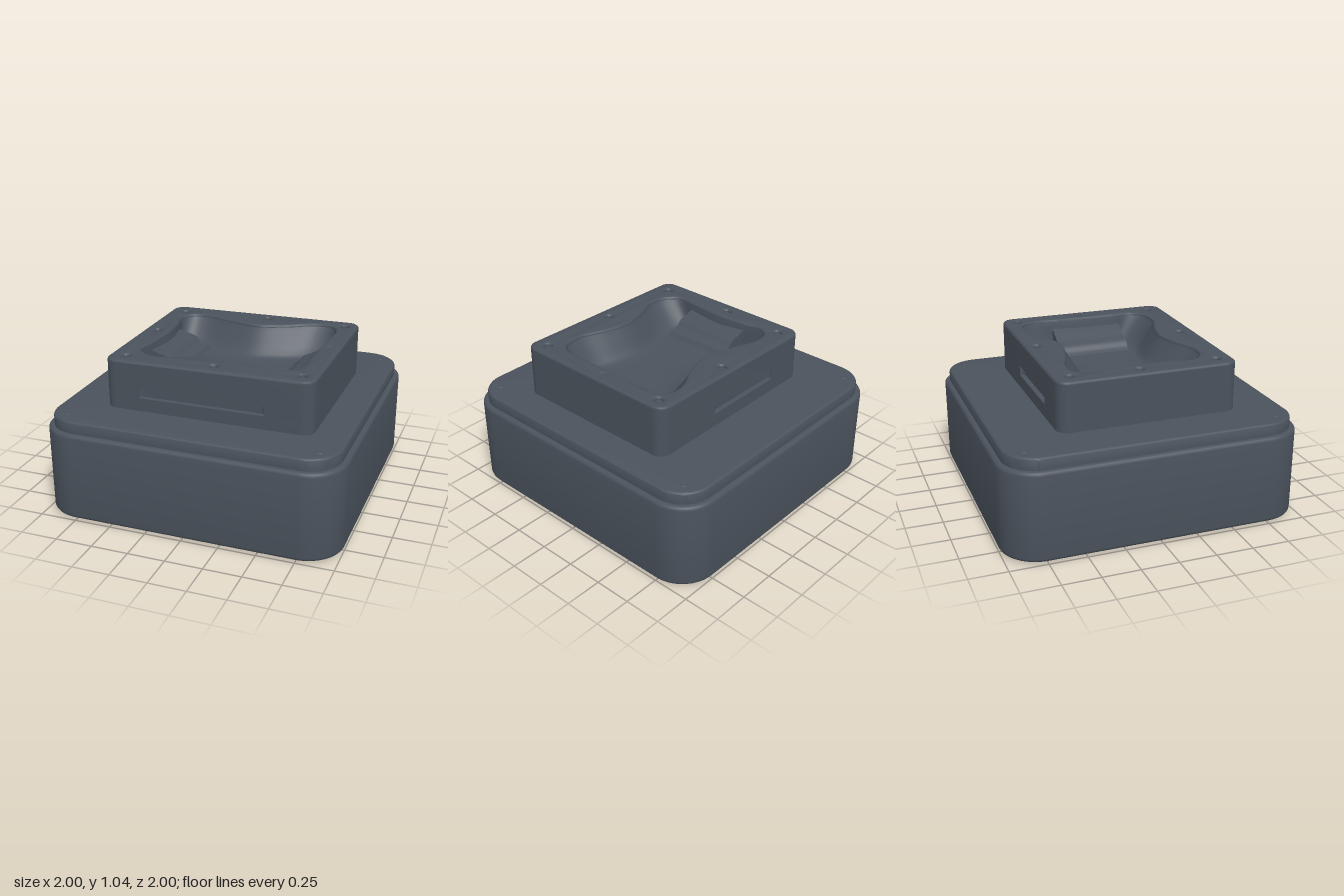
import * as THREE from 'three';
import { toCreasedNormals } from 'three/addons/utils/BufferGeometryUtils.js';

const material = new THREE.MeshStandardMaterial({ color: 0x4a525c });

function addPart(group, name, geometry, x = 0, y = 0, z = 0) {
  const mesh = new THREE.Mesh(geometry, material);
  mesh.name = name;
  mesh.position.set(x, y, z);
  group.add(mesh);
}

// Rounded rectangle in plan (shape y = world z); optional notches in the back and front sides
function plan(x0, x1, z0, z1, r, backNotch, frontNotch, d = 0.035) {
  const s = new THREE.Shape();
  s.moveTo(x0 + r, z0);
  if (backNotch) {
    const [a, b] = backNotch;
    s.lineTo(a, z0);
    s.quadraticCurveTo(a, z0 + d, a + d, z0 + d);
    s.lineTo(b - d, z0 + d);
    s.quadraticCurveTo(b, z0 + d, b, z0);
  }
  s.lineTo(x1 - r, z0);
  s.absarc(x1 - r, z0 + r, r, -Math.PI / 2, 0);
  s.lineTo(x1, z1 - r);
  s.absarc(x1 - r, z1 - r, r, 0, Math.PI / 2);
  if (frontNotch) {
    const [a, b] = frontNotch;
    s.lineTo(b, z1);
    s.quadraticCurveTo(b, z1 - d, b - d, z1 - d);
    s.lineTo(a + d, z1 - d);
    s.quadraticCurveTo(a, z1 - d, a, z1);
  }
  s.lineTo(x0 + r, z1);
  s.absarc(x0 + r, z1 - r, r, Math.PI / 2, Math.PI);
  s.lineTo(x0, z0 + r);
  s.absarc(x0 + r, z0 + r, r, Math.PI, Math.PI * 1.5);
  return s;
}

// The rim of the housing rises gently towards +x
function tilt(geometry) {
  const p = geometry.attributes.position;
  for (let i = 0; i < p.count; i++) {
    const k = THREE.MathUtils.smoothstep(p.getY(i), 0.86, 0.99);
    p.setY(i, p.getY(i) + 0.013 * p.getX(i) * k);
  }
  return geometry;
}

// Extrude a plan shape between two heights, with rounded edges if bevel > 0
function slab(shape, y0, y1, bevel = 0) {
  const g = new THREE.ExtrudeGeometry(shape, {
    depth: y1 - y0 - 2 * bevel, curveSegments: 12,
    bevelEnabled: bevel > 0, bevelThickness: bevel, bevelSize: bevel, bevelOffset: -bevel, bevelSegments: 4,
  });
  g.rotateX(Math.PI / 2).translate(0, y1 - bevel, 0);
  return toCreasedNormals(tilt(g), 0.7);
}

// Pinched outline of the pocket
const outline = new THREE.CatmullRomCurve3([
  [-0.52, -0.33], [-0.46, -0.41], [-0.35, -0.42], [-0.15, -0.355], [0.06, -0.315], [0.25, -0.37],
  [0.44, -0.46], [0.56, -0.45], [0.61, -0.37], [0.61, -0.2], [0.6, 0], [0.6, 0.25],
  [0.6, 0.38], [0.54, 0.46], [0.4, 0.48], [0.22, 0.42], [0.04, 0.385], [-0.12, 0.42],
  [-0.3, 0.49], [-0.42, 0.48], [-0.51, 0.4], [-0.5, 0.25], [-0.48, 0], [-0.5, -0.2],
].map(([x, z]) => new THREE.Vector3(x, 0, z)), true).getPoints(120).slice(0, -1);

// Pocket lining: the outline scaled inwards ring by ring down to the floor
function pocketGeometry() {
  const cx = 0.05, cz = 0.04, n = outline.length;
  const rings = [[1, 1, 1.012], [0.99, 0.96, 0.985], [0.98, 0.88, 0.94], [0.97, 0.8, 0.89],
    [0.96, 0.72, 0.85], [0.93, 0.65, 0.83], [0.5, 0.4, 0.825], [0, 0, 0.825]];
  const pos = [], index = [];
  for (const [sx, sz, y] of rings) {
    for (const p of outline) pos.push(cx + (p.x - cx) * sx, y, cz + (p.z - cz) * sz);
  }
  for (let k = 0; k < rings.length - 1; k++) {
    for (let j = 0; j < n; j++) {
      const a = k * n + j, b = k * n + (j + 1) % n;
      index.push(b, a, a + n, b, a + n, b + n);
    }
  }
  const g = new THREE.BufferGeometry();
  g.setAttribute('position', new THREE.Float32BufferAttribute(pos, 3));
  g.setIndex(index);
  tilt(g).computeVertexNormals();
  return g;
}

// Sloped ledge inside the pocket, a side profile extruded along z
function ledgeGeometry(points, z0, z1) {
  const shape = new THREE.Shape();
  shape.moveTo(...points[0]);
  shape.splineThru(points.slice(1).map(([x, y]) => new THREE.Vector2(x, y)));
  shape.lineTo(points[0][0], 0.8);
  const g = new THREE.ExtrudeGeometry(shape, { depth: z1 - z0, bevelEnabled: false, curveSegments: 16 });
  return toCreasedNormals(g.translate(0, 0, z0), 0.7);
}

export function createModel() {
  const model = new THREE.Group();
  model.name = 'squareCase';

  // Base: rounded frame closed below by a recessed plate
  const baseShape = plan(-1, 1, -1, 1, 0.25);
  baseShape.holes.push(plan(-0.84, 0.84, -0.84, 0.84, 0.18));
  addPart(model, 'baseBody', slab(baseShape, 0.013, 0.612, 0.025));
  addPart(model, 'bottomPlate', slab(plan(-0.9, 0.9, -0.9, 0.9, 0.2), 0.04, 0.07));
  addPart(model, 'baseLid', slab(plan(-0.965, 0.965, -0.965, 0.965, 0.22), 0.55, 0.69, 0.02));

  // Corner feet and faint lid studs
  for (const x of [-0.84, 0.84]) {
    for (const z of [-0.84, 0.84]) {
      addPart(model, 'foot', new THREE.CylinderGeometry(0.06, 0.03, 0.03, 24), x, 0.015, z);
      addPart(model, 'lidStud', new THREE.CylinderGeometry(0.018, 0.03, 0.01, 20), x, 0.688, z);
    }
  }

  // Housing: stacked layers, the middle one notched to leave the front and back slots
  const hole = () => new THREE.Path(outline.map((p) => new THREE.Vector2(p.x, p.z)));
  const housing = (back, front, open) => {
    const s = plan(-0.665, 0.74, -0.57, 0.65, 0.08, back, front);
    if (open) s.holes.push(hole());
    return s;
  };
  addPart(model, 'housingLower', slab(housing(null, null, false), 0.68, 0.78));
  addPart(model, 'housingSlots', slab(housing([-0.36, 0.24], [-0.43, 0.43], true), 0.78, 0.848));
  addPart(model, 'housingUpper', slab(housing(null, null, true), 0.848, 1.01));

  // Rounded rim with screw recesses
  const rim = housing(null, null, true);
  const screws = [[-0.55, -0.46], [0.08, -0.49], [0.65, -0.47], [-0.57, 0], [0.68, 0],
    [-0.55, 0.54], [0.06, 0.55], [0.64, 0.54]];
  for (const [x, z] of screws) {
    rim.holes.push(new THREE.Path().absarc(x, z, 0.027, 0, Math.PI * 2));
  }
  addPart(model, 'housingRim', slab(rim, 0.994, 1.031, 0.018));

  // Pocket with a ledge sloping down from each end wall
  addPart(model, 'pocket', pocketGeometry());
  addPart(model, 'pocketLedge', ledgeGeometry(
    [[-0.51, 0.975], [-0.45, 0.955], [-0.38, 0.935], [-0.34, 0.9], [-0.29, 0.885], [-0.26, 0.85], [-0.22, 0.82]],
    -0.21, 0.27));
  addPart(model, 'pocketLedge', ledgeGeometry(
    [[0.62, 0.98], [0.56, 0.95], [0.49, 0.91], [0.43, 0.88], [0.4, 0.845], [0.36, 0.82]], -0.22, 0.29));
  return model;
}
